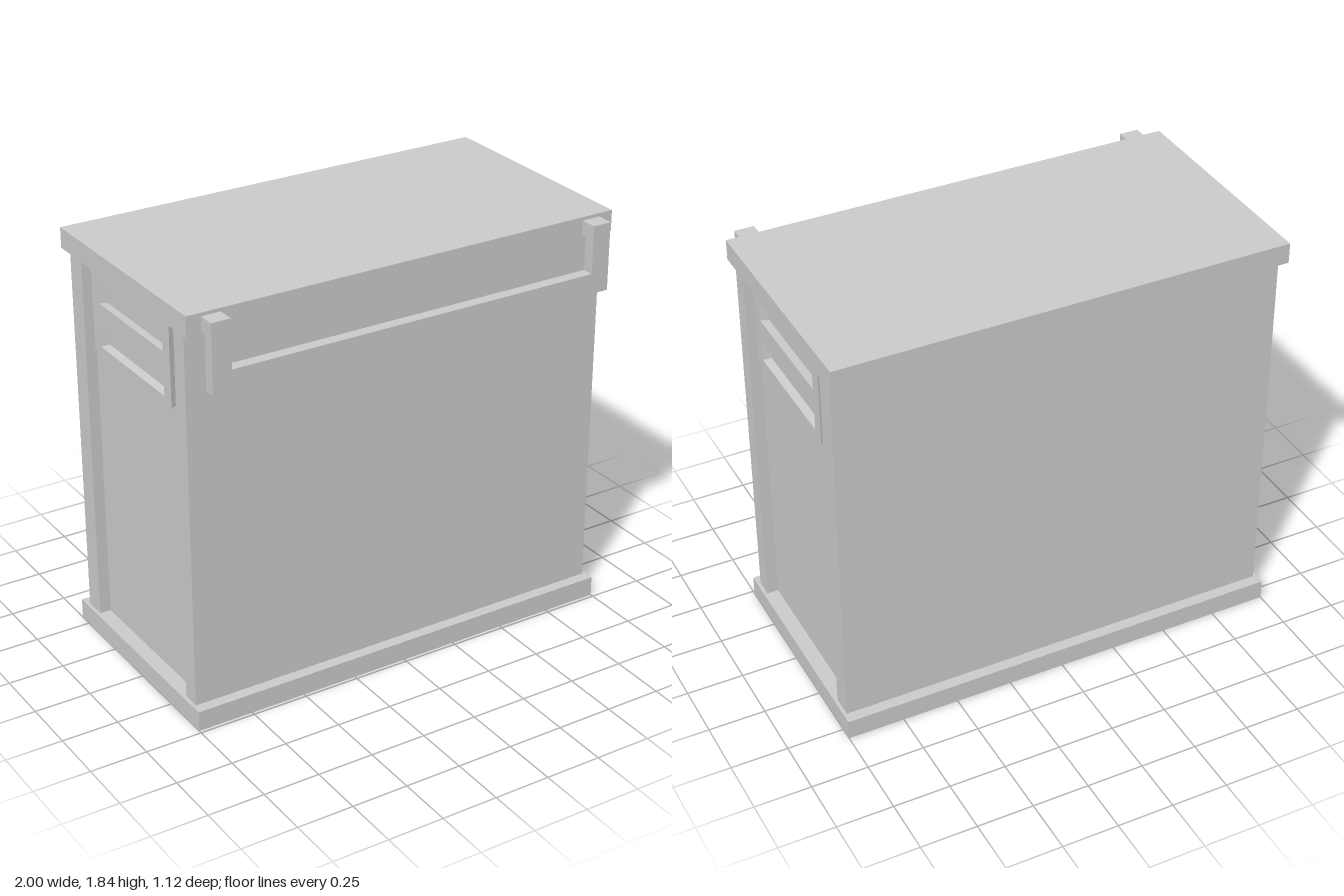
import * as THREE from 'three';

const material = new THREE.MeshStandardMaterial({ color: 0xcccccc, flatShading: true });

function add(parent, name, geometry) {
  const mesh = new THREE.Mesh(geometry, material);
  mesh.name = name;
  parent.add(mesh);
  return mesh;
}

// Box given by its limits on each axis
function box(parent, name, [x0, x1], [y0, y1], [z0, z1]) {
  const mesh = add(parent, name, new THREE.BoxGeometry(x1 - x0, y1 - y0, z1 - z0));
  mesh.position.set((x0 + x1) / 2, (y0 + y1) / 2, (z0 + z1) / 2);
  return mesh;
}

function outline(Type, w0, w1, h0, h1) {
  return new Type([[w0, h0], [w1, h0], [w1, h1], [w0, h1]].map(([x, y]) => new THREE.Vector2(x, y)));
}

// Slotted plate, its back slightly smaller than its face
function ventGeometry(depth) {
  const shape = outline(THREE.Shape, -0.323, 0.323, -0.175, 0.175);
  for (const [low, high] of [[-0.143, -0.05], [0.048, 0.14]]) {
    shape.holes.push(outline(THREE.Path, -0.268, 0.268, low, high));
  }
  const geometry = new THREE.ExtrudeGeometry(shape, { depth, bevelEnabled: false });
  const p = geometry.attributes.position;
  for (let i = 0; i < p.count; i++) {
    if (p.getZ(i) < depth / 2) p.setXY(i, p.getX(i) * 0.965, p.getY(i) * 0.965);
  }
  geometry.computeVertexNormals();
  return geometry;
}

export function createModel() {
  const model = new THREE.Group();
  model.name = 'cabinet';

  // Base and top slabs
  box(model, 'base', [-1, 1], [0, 0.09], [-0.56, 0.485]);
  box(model, 'top', [-1, 1], [1.75, 1.84], [-0.56, 0.485]);

  // Body: recessed core between wider front and back panels
  box(model, 'core', [-0.935, 0.935], [0.09, 1.75], [-0.413, 0.355]);
  box(model, 'frontPanel', [-0.985, 0.985], [0.09, 1.75], [0.355, 0.435]);
  box(model, 'backPanel', [-0.985, 0.985], [0.09, 1.75], [-0.51, -0.413]);

  // Slotted plate on each side
  for (const side of [-1, 1]) {
    const vent = add(model, side > 0 ? 'leftVent' : 'rightVent', ventGeometry(0.035));
    vent.rotation.y = side * Math.PI / 2;
    vent.position.set(side * 0.935, 1.545, -0.033);
  }

  // U-shaped front rail hung from two lugs
  const handle = new THREE.Group();
  handle.name = 'handle';
  model.add(handle);
  const rail = new THREE.Shape([
    [-0.935, 1.525], [0.935, 1.525], [0.935, 1.825], [0.85, 1.825],
    [0.85, 1.615], [-0.85, 1.615], [-0.85, 1.825], [-0.935, 1.825],
  ].map(([x, y]) => new THREE.Vector2(x, y)));
  add(handle, 'rail', new THREE.ExtrudeGeometry(rail, { depth: 0.051, bevelEnabled: false })).position.z = 0.509;
  box(handle, 'rightLug', [-0.935, -0.85], [1.762, 1.825], [0.485, 0.509]);
  box(handle, 'leftLug', [0.85, 0.935], [1.762, 1.825], [0.485, 0.509]);

  return model;
}
